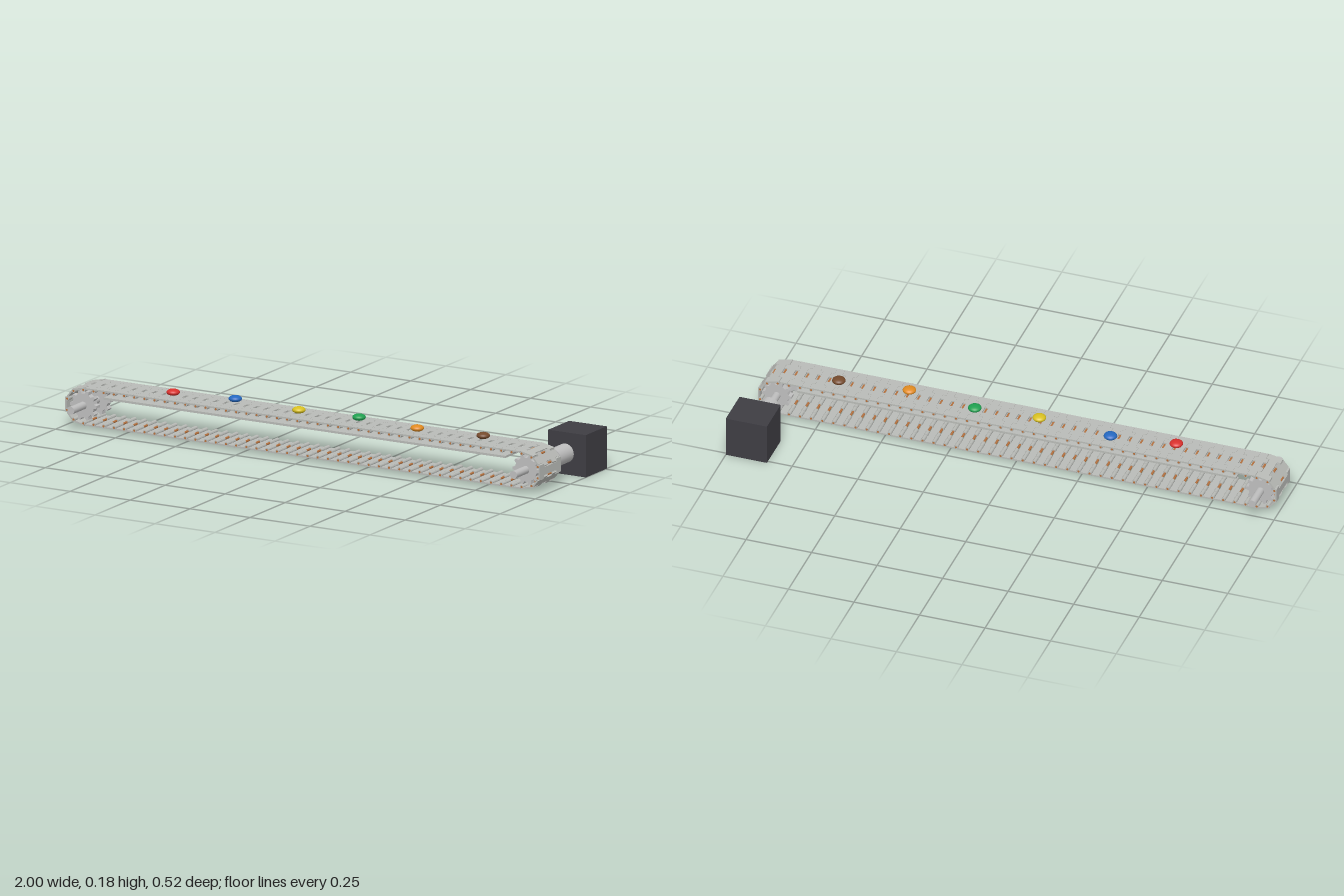
import * as THREE from 'three';
import { mergeGeometries } from 'three/addons/utils/BufferGeometryUtils.js';

const mat = (name, color) => Object.assign(new THREE.MeshStandardMaterial({ color }), { name });

export function createModel() {
  const group = new THREE.Group();
  const steel = mat('steel', 0xb9bbb7);
  const paleSteel = mat('pale steel', 0xbebebe);
  const copper = mat('copper', 0xb87340);
  const charcoal = mat('charcoal', 0x3e3d43);

  const add = (name, geometry, material, x = 0, y = 0, z = 0) => {
    const mesh = new THREE.Mesh(geometry, material);
    mesh.name = name;
    mesh.position.set(x, y, z);
    group.add(mesh);
    return mesh;
  };
  const box = (x0, x1, y0, y1, z0, z1) =>
    new THREE.BoxGeometry(x1 - x0, y1 - y0, z1 - z0)
      .translate((x0 + x1) / 2, (y0 + y1) / 2, (z0 + z1) / 2);
  const rod = (r, z0, z1, sides) =>
    new THREE.CylinderGeometry(r, r, z1 - z0, sides).rotateX(Math.PI / 2).translate(0, 0, (z0 + z1) / 2);

  const XL = -0.93, XR = 0.915, Y = 0.08, R = 0.062, N = 96;
  const Z0 = 0.036, Z1 = 0.186;

  // Pin positions around the loop, starting at the right-hand end
  const span = XR - XL, arc = Math.PI * R;
  const total = 2 * (span + arc), pitch = total / N;
  const onLoop = (s) => {
    s = (s + total) % total;
    if (s < arc / 2) return [XR + R * Math.cos(s / R), Y + R * Math.sin(s / R)];
    s -= arc / 2;
    if (s < span) return [XR - s, Y + R];
    s -= span;
    if (s < arc) return [XL - R * Math.sin(s / R), Y + R * Math.cos(s / R)];
    s -= arc;
    if (s < span) return [XL + s, Y - R];
    s -= span;
    return [XR + R * Math.sin(s / R), Y - R * Math.cos(s / R)];
  };

  // Hinged link: flat plate on the outer side, tabs and knuckles at both ends
  const makeLink = (bands) => {
    const h = pitch / 2, parts = [box(-h + 0.0065, h - 0.0065, -0.008, -0.002, Z0, Z1)];
    for (const [a, b] of bands) {
      for (const side of [-1, 1]) {
        const ends = [side * (h - 0.0065), side * (h + 0.006)].sort((p, q) => p - q);
        parts.push(box(ends[0], ends[1], -0.008, -0.002, a, b));
        parts.push(rod(0.0075, a, b, 10).translate(side * h, 0, 0));
      }
    }
    return mergeGeometries(parts);
  };
  const outerLink = makeLink([[Z0, 0.067], [0.155, Z1]]);
  const innerLink = makeLink([[0.069, 0.095], [0.128, 0.153]]);
  const pin = rod(0.0042, Z0 - 0.001, Z1 + 0.001, 8);

  const links = [], pins = [];
  for (let i = 0; i < N; i++) {
    const [ax, ay] = onLoop((i + 0.5) * pitch);
    const [bx, by] = onLoop((i + 1.5) * pitch);
    const link = (i % 2 ? outerLink : innerLink).clone();
    links.push(link.rotateZ(Math.atan2(by - ay, bx - ax)).translate((ax + bx) / 2, (ay + by) / 2, 0));
    pins.push(pin.clone().translate(ax, ay, 0));
  }
  add('chainLinks', mergeGeometries(links), steel);
  add('chainPins', mergeGeometries(pins), copper);

  // Support plate below the upper run
  add('supportPlate', box(-0.84, 0.835, 0.115, 0.123, 0.042, 0.18), steel);

  // Sprockets: toothed discs, a pair at each end
  const gear = new THREE.Shape();
  const teeth = 10;
  for (let i = 0; i < teeth; i++) {
    [[-0.28, 0.045], [-0.13, 0.056], [0.13, 0.056], [0.28, 0.045]].forEach(([o, r], k) => {
      const a = ((i + o) / teeth) * Math.PI * 2;
      gear[i + k === 0 ? 'moveTo' : 'lineTo'](r * Math.cos(a), r * Math.sin(a));
    });
  }
  gear.closePath();
  const gearGeo = new THREE.ExtrudeGeometry(gear, { depth: 0.025, bevelEnabled: false });
  for (const x of [XL, XR]) {
    for (const z of [0.05, 0.147]) add('sprocket', gearGeo, paleSteel, x, Y, z);
    add('axle', rod(0.0145, -0.04, 0.26, 20), paleSteel, x, Y);
  }

  // Drive motor and its coupling
  add('coupling', rod(0.035, -0.112, -0.018, 24), paleSteel, XR, Y);
  add('motor', box(0.843, 1, 0, 0.157, -0.26, -0.111), charcoal);

  // Flattened sweets riding on the belt
  const sweet = new THREE.SphereGeometry(0.0245, 24, 16).scale(1, 0.5, 1);
  [
    ['red', 0xd8302c, -0.585, 0.12], ['blue', 0x2468c0, -0.345, 0.088],
    ['yellow', 0xd8c020, -0.065, 0.113], ['green', 0x1fa050, 0.175, 0.095],
    ['orange', 0xe08a20, 0.435, 0.125], ['brown', 0x754a2c, 0.695, 0.099],
  ].forEach(([name, hex, x, z]) => add(name + 'Sweet', sweet, mat(name, hex), x, 0.163, z));

  return group;
}
